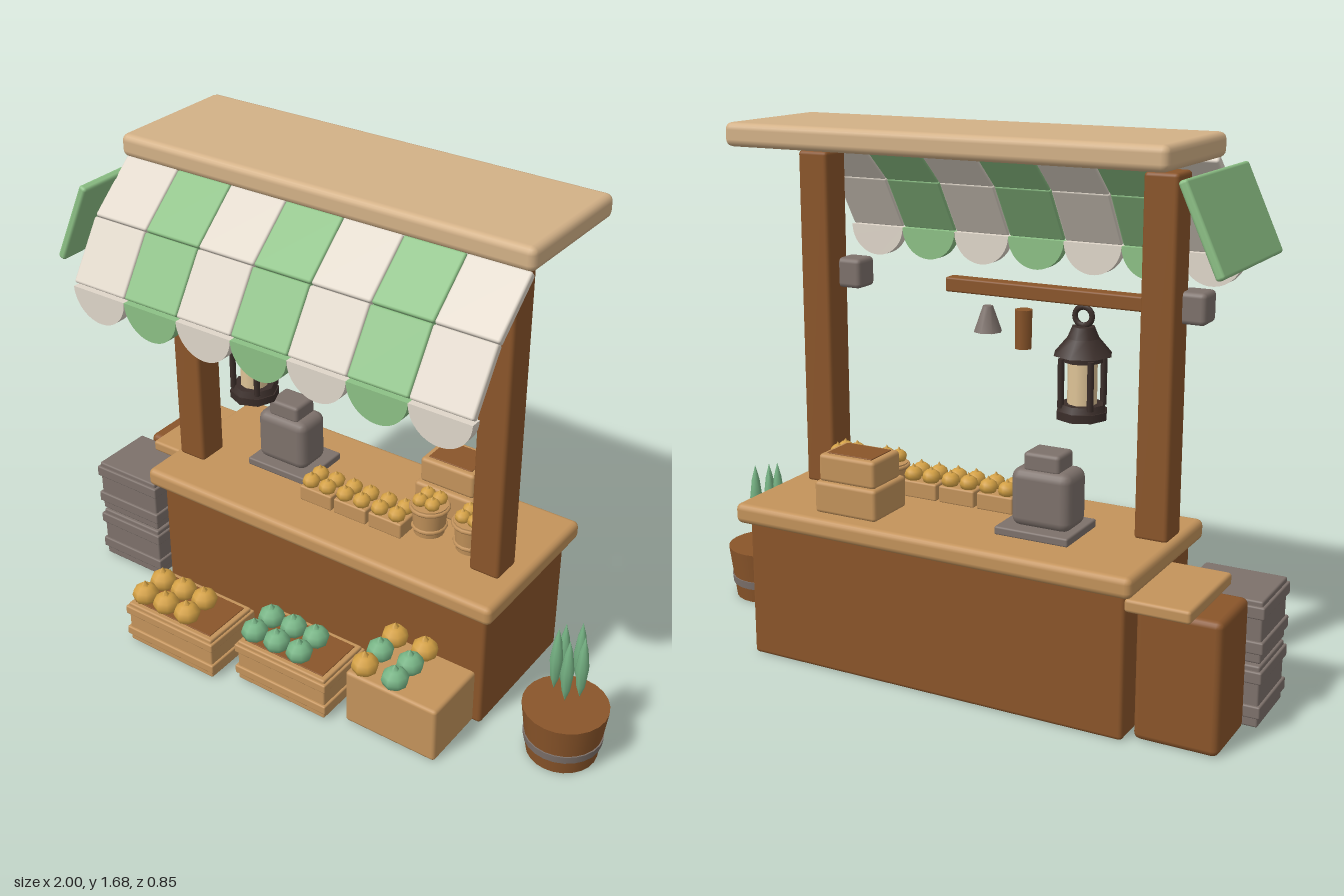
import * as THREE from 'three';
import { RoundedBoxGeometry } from 'three/addons/geometries/RoundedBoxGeometry.js';

const mat = (name, color) => {
  const m = new THREE.MeshStandardMaterial({ color });
  m.name = name;
  return m;
};

export function createModel() {
  const root = new THREE.Group();
  root.name = 'marketStall';
  const wood = mat('brown wood', 0x8a552a), tan = mat('tan wood', 0xc3935b);
  const pale = mat('pale wood', 0xd3b187), gray = mat('warm gray', 0x7d716b);
  const cream = mat('cream cloth', 0xdfd6c9), green = mat('green cloth', 0x8cc085);
  const leaf = mat('leaf green', 0x76b384), gold = mat('golden fruit', 0xd3a044);
  const dark = mat('dark iron', 0x3b2e2a), glow = mat('lantern glass', 0xdfc497);

  const add = (name, geo, material, x = 0, y = 0, z = 0, parent = root) => {
    const m = new THREE.Mesh(geo, material);
    m.name = name;
    m.position.set(x, y, z);
    parent.add(m);
    return m;
  };
  // softened box given by its extents
  const box = (name, material, x0, x1, y0, y1, z0, z1, r = 0.012) => {
    const w = x1 - x0, h = y1 - y0, d = z1 - z0;
    const geo = new RoundedBoxGeometry(w, h, d, 2, Math.min(r, w / 3, h / 3, d / 3));
    return add(name, geo, material, (x0 + x1) / 2, (y0 + y1) / 2, (z0 + z1) / 2);
  };
  const cyl = (name, material, rTop, rBottom, y0, y1, x, z, sides = 16) =>
    add(name, new THREE.CylinderGeometry(rTop, rBottom, y1 - y0, sides), material, x, (y0 + y1) / 2, z);
  const fruit = (material, r, x, y, z) => {
    add('fruit', new THREE.SphereGeometry(r, 8, 6), material, x, y, z).scale.y = 0.85;
    add('fruitTip', new THREE.ConeGeometry(r * 0.35, r * 0.5, 5), material, x, y + r * 0.95, z);
  };
  // slatted crate: body, raised bands and a dark inside face
  const crate = (name, material, x0, x1, y0, y1, z0, z1, inside) => {
    const h = y1 - y0, e = 0.008;
    box(name, material, x0 + e, x1 - e, y0, y1, z0 + e, z1 - e, 0.006);
    for (const t of [0.16, 0.72])
      box(name + 'Band', material, x0, x1, y0 + h * t, y0 + h * (t + 0.2), z0, z1, 0.005);
    if (inside) box(name + 'Inside', wood, x0 + 0.025, x1 - 0.025, y1 - 0.003, y1 + 0.003, z0 + 0.025, z1 - 0.025);
  };

  // counter, posts and roof
  box('counterBody', wood, -0.68, 0.6, 0, 0.45, -0.4, 0.095);
  box('counterTop', tan, -0.705, 0.64, 0.44, 0.505, -0.425, 0.15, 0.02);
  box('leftPost', wood, 0.475, 0.58, 0.5, 1.58, -0.11, 0);
  box('rightPost', wood, -0.685, -0.58, 0.5, 1.58, -0.11, 0);
  box('roof', pale, -0.745, 0.685, 1.607, 1.68, -0.345, 0.112, 0.022);
  for (const x of [-0.755, 0.4]) box('bracket', gray, x, x + 0.09, 1.145, 1.24, -0.05, 0.043, 0.015);

  // striped awning: two sloping rows and a scalloped hem
  const path = [[0.095, 1.605], [0.255, 1.465], [0.368, 1.29]];
  const w = 0.201;
  const scallop = new THREE.Shape();
  scallop.absarc(0, 0, w / 2, Math.PI, Math.PI * 2, false);
  const hem = new THREE.ExtrudeGeometry(scallop, { depth: 0.035, bevelEnabled: false, curveSegments: 16 });
  for (let i = 0; i < 7; i++) {
    const x = -0.727 + w * (i + 0.5), m = i % 2 ? green : cream;
    for (let k = 0; k < 2; k++) {
      const [z0, y0] = path[k], [z1, y1] = path[k + 1];
      const geo = new RoundedBoxGeometry(w - 0.002, 0.028, Math.hypot(z1 - z0, y1 - y0), 2, 0.007);
      add('awningPanel', geo, m, x, (y0 + y1) / 2, (z0 + z1) / 2).rotation.x = Math.atan2(y0 - y1, z1 - z0);
    }
    add('awningScallop', hem, m, x, 1.283, 0.345);
  }
  const flap = add('sideAwning', new RoundedBoxGeometry(0.028, 0.29, 0.512, 2, 0.01), green, -0.79, 1.443, 0.05);
  flap.rotation.z = -Math.atan2(0.12, 0.26);

  // hanging beam with tools
  box('hangingBeam', wood, -0.6, 0.085, 1.17, 1.215, -0.055, -0.005, 0.006);
  cyl('hangingTool', wood, 0.028, 0.026, 1.015, 1.135, -0.172, -0.03, 8);
  cyl('hangingBell', gray, 0.016, 0.045, 1.055, 1.135, -0.05, -0.03, 8);

  // lantern
  const lx = -0.37, lz = -0.03;
  add('lanternRing', new THREE.TorusGeometry(0.028, 0.009, 8, 16), dark, lx, 1.135, lz);
  cyl('lanternCap', dark, 0.035, 0.05, 1.07, 1.105, lx, lz, 8);
  cyl('lanternRoof', dark, 0.045, 0.092, 1.02, 1.075, lx, lz, 8);
  cyl('lanternCollar', dark, 0.065, 0.065, 1.0, 1.025, lx, lz, 8);
  cyl('lanternGlass', glow, 0.045, 0.045, 0.86, 1.005, lx, lz, 10);
  for (let i = 0; i < 4; i++) {
    const a = Math.PI / 4 + i * Math.PI / 2;
    cyl('lanternBar', dark, 0.01, 0.01, 0.86, 1.01, lx + 0.068 * Math.cos(a), lz + 0.068 * Math.sin(a), 6);
  }
  cyl('lanternFoot', dark, 0.068, 0.078, 0.845, 0.87, lx, lz, 8);
  cyl('lanternBase', dark, 0.08, 0.08, 0.825, 0.85, lx, lz, 8);

  // weighing machine
  box('machineBase', gray, -0.445, -0.205, 0.503, 0.53, -0.28, -0.075, 0.006);
  box('machineBody', gray, -0.43, -0.235, 0.525, 0.705, -0.242, -0.108, 0.03);
  box('machineTop', gray, -0.39, -0.272, 0.695, 0.755, -0.225, -0.125, 0.012);

  // small fruit trays on the counter
  for (let i = 0; i < 3; i++) {
    const x = -0.175 + i * 0.135;
    box('fruitTray', tan, x, x + 0.125, 0.503, 0.558, -0.105, -0.005, 0.006);
    for (const dx of [0.03, 0.095]) for (const z of [-0.08, -0.03]) fruit(gold, 0.03, x + dx, 0.575, z);
  }
  // round baskets
  for (const x of [0.268, 0.425]) {
    cyl('basket', tan, 0.06, 0.05, 0.503, 0.61, x, -0.1);
    for (const [y, r] of [[0.53, 0.053], [0.6, 0.061]])
      add('basketHoop', new THREE.TorusGeometry(r, 0.007, 6, 16), tan, x, y, -0.1).rotation.x = Math.PI / 2;
    for (let i = 0; i < 4; i++) {
      const a = Math.PI / 4 + i * Math.PI / 2;
      fruit(gold, 0.026, x + 0.032 * Math.cos(a), 0.625, -0.1 + 0.032 * Math.sin(a));
    }
  }
  // stacked boxes at the back of the counter
  box('lowerBox', tan, 0.155, 0.375, 0.503, 0.605, -0.367, -0.183);
  box('upperBox', tan, 0.165, 0.365, 0.602, 0.69, -0.355, -0.2);
  box('upperBoxInside', wood, 0.185, 0.345, 0.687, 0.693, -0.335, -0.22);

  // produce crates on the ground
  crate('produceCrate', tan, -0.595, -0.225, 0, 0.155, 0.19, 0.42, true);
  crate('produceCrate', tan, -0.172, 0.19, 0, 0.155, 0.14, 0.368, true);
  for (let i = 0; i < 3; i++) for (let k = 0; k < 2; k++) {
    fruit(gold, 0.045, -0.55 + i * 0.09, 0.18, 0.365 - k * 0.09);
    fruit(leaf, 0.045, -0.13 + i * 0.09, 0.18, 0.31 - k * 0.09);
  }
  box('plainBox', tan, 0.238, 0.572, 0, 0.2, 0.085, 0.325);
  const mix = [[gold, leaf, gold], [leaf, leaf, gold]];
  mix.forEach((col, i) => col.forEach((m, k) => fruit(m, 0.045, 0.29 + i * 0.112, 0.23, 0.29 - k * 0.085)));

  // side bin, shelf and gray crates
  box('sideBin', wood, -0.955, -0.7, 0, 0.405, -0.37, -0.145, 0.02);
  box('sideShelf', tan, -0.877, -0.68, 0.4, 0.44, -0.41, -0.075, 0.01);
  crate('grayCrate', gray, -1, -0.73, 0, 0.192, -0.145, 0.095);
  crate('grayCrate', gray, -1, -0.73, 0.2, 0.392, -0.145, 0.095);

  // planter with upright leaves
  const px = 0.863, pz = 0.04;
  cyl('planter', wood, 0.135, 0.112, 0, 0.18, px, pz, 24);
  cyl('planterBand', gray, 0.126, 0.123, 0.05, 0.077, px, pz, 24);
  const spindle = [[0, -0.115], [0.014, -0.07], [0.021, 0], [0.013, 0.065], [0, 0.115]];
  const blade = new THREE.LatheGeometry(spindle.map(p => new THREE.Vector2(...p)), 8);
  for (let i = 0; i < 5; i++) {
    const a = i * Math.PI * 0.4;
    add('leafBlade', blade, leaf, px + 0.042 * Math.cos(a), 0.345 + (i % 2) * 0.015, pz - 0.042 * Math.sin(a));
  }
  return root;
}
